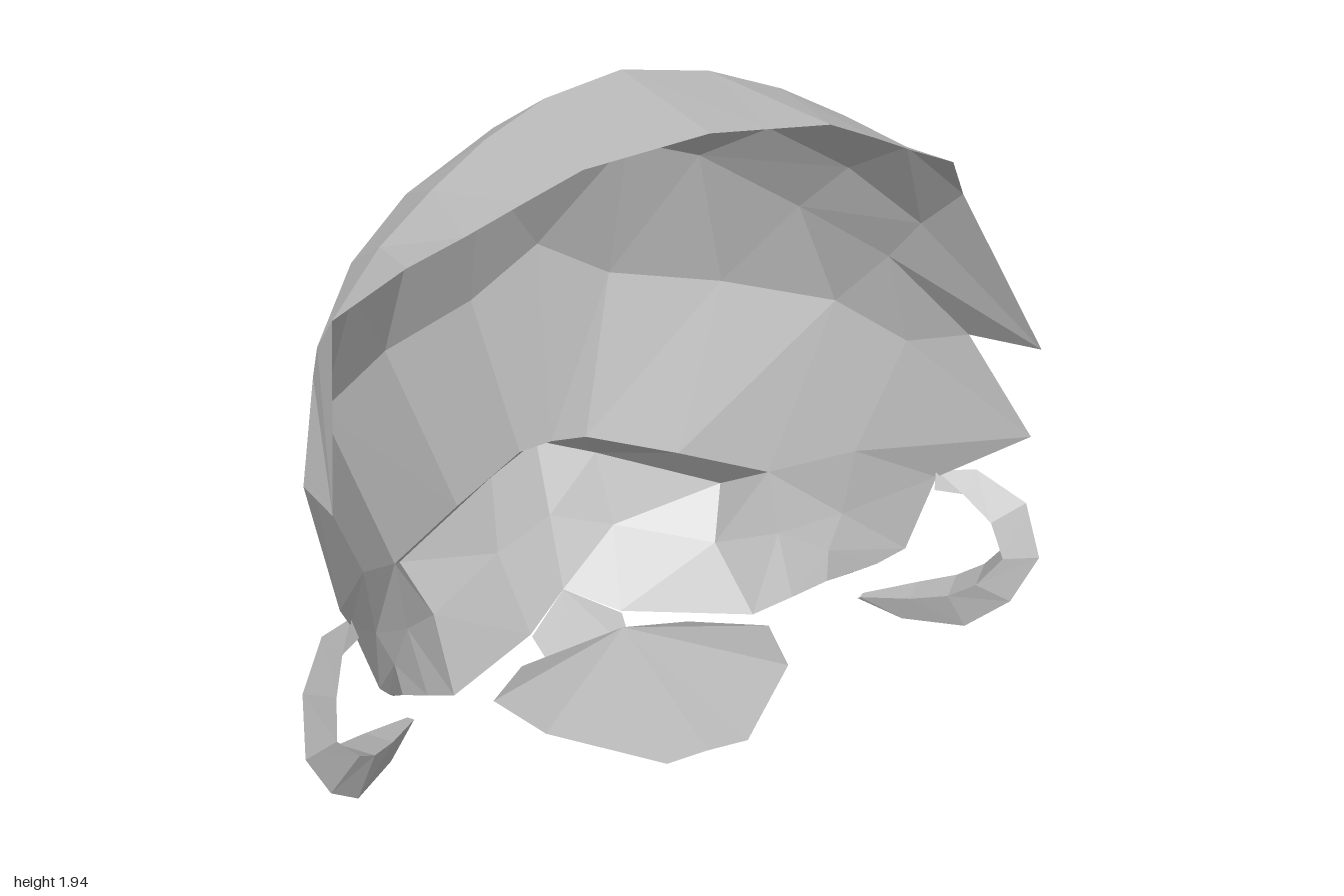
import * as THREE from 'three';

const grey = new THREE.MeshStandardMaterial({ color: 0xc0c0c0, flatShading: true, side: THREE.DoubleSide });
grey.name = 'grey';

// Mesh from a list of triangles, each made of three [x, y, z] corners
function facets(name, tris) {
  const g = new THREE.BufferGeometry();
  g.setAttribute('position', new THREE.Float32BufferAttribute(tris.flat(2), 3));
  g.computeVertexNormals();
  const m = new THREE.Mesh(g, grey);
  m.name = name;
  return m;
}

const flip = ([x, y, z]) => [-x, y, z];
const mirrored = (tris) => tris.map(([a, b, c]) => [flip(a), flip(c), flip(b)]);

// Triangles between neighbouring cross-sections
function loft(rows, closed = false) {
  const tris = [];
  for (let i = 0; i < rows.length - 1; i++) {
    const a = rows[i], b = rows[i + 1], n = a.length;
    for (let k = 0; k < (closed ? n : n - 1); k++) {
      const j = (k + 1) % n;
      tris.push([a[k], a[j], b[k]], [a[j], b[j], b[k]]);
    }
  }
  return tris;
}

const fan = (c, pts) => pts.slice(1).map((p, i) => [c, pts[i], p]);

export function createModel() {
  const model = new THREE.Group();
  model.name = 'hair';

  // Open shell, half of it: rows from the back centre to the jagged side rim
  const upper = [
    [[0, 1.945, 0.5], [0.14, 1.93, 0.5], [0.28, 1.915, 0.5], [0.4, 1.855, 0.48], [0.52, 1.79, 0.455], [0.64, 1.73, 0.43]],
    [[0, 1.9, 0.03], [0.2, 1.88, 0.07], [0.36, 1.83, 0.12], [0.5, 1.76, 0.17], [0.64, 1.68, 0.23], [0.77, 1.56, 0.29]],
    [[0, 1.8, -0.13], [0.23, 1.7, -0.2], [0.47, 1.6, -0.14], [0.64, 1.51, -0.03], [0.77, 1.4, 0.12], [0.865, 1.25, 0.545]],
    [[0, 1.63, -0.34], [0.2, 1.5, -0.4], [0.38, 1.45, -0.35], [0.6, 1.33, -0.2], [0.76, 1.25, 0], [0.86, 1.13, 0.25]],
    [[0, 1.17, -0.55], [0.2, 1.05, -0.53], [0.48, 1.03, -0.4], [0.71, 1.04, -0.17], [0.8, 1.02, 0.06], [0.87, 1, 0.545]],
    [[0, 0.58, -0.47], [0.1, 0.575, -0.46], [0.33, 0.54, -0.33], [0.55, 0.5, -0.2], [0.69, 0.68, 0.03], [0.79, 0.73, 0.28]],
  ];
  // Rolled nape below the undercut ledge
  const lower = [
    upper[5],
    [[0, 0.5, -0.6], [0.16, 0.455, -0.54], [0.49, 0.36, -0.38], [0.55, 0.5, -0.2], [0.67, 0.47, 0.02], [0.73, 0.5, 0.26]],
    [[0, 0.3, -0.5], [0.18, 0.25, -0.45], [0.43, 0.23, -0.28], [0.55, 0.34, -0.12], [0.63, 0.36, 0.03], [0.69, 0.41, 0.19]],
    [[0, 0.1, -0.4], [0.14, 0.05, -0.3], [0.45, 0.12, -0.06], [0.54, 0.2, 0], [0.62, 0.27, 0.05], [0.66, 0.33, 0.11]],
  ];
  for (const [name, rows] of [['hairShell', upper], ['napeRoll', lower]]) {
    const half = loft(rows);
    model.add(facets(name, [...half, ...mirrored(half)]));
  }

  // Notched chin plate, rising towards the front
  const chin = fan([0, 0.3, 0.05], [[0, 0.32, 0.59], [0.11, 0.315, 0.59], [0.34, 0.3, 0.36], [0.4, 0.24, 0.13], [0.25, 0.15, -0.07]]);
  model.add(facets('chinPlate', [...chin, ...mirrored(chin)]));

  // Small tab under the nape
  const tab = fan([0, 0.1, -0.4], [[0, 0.01, -0.15], [0.12, 0.01, -0.15], [0.14, 0.05, -0.29]]);
  model.add(facets('napeTab', [...tab, ...mirrored(tab)]));

  // Side curls: [x, y, z, radius, half width] along a C-shaped path
  const path = [
    [0.79, 0.72, 0.28, 0.03, 0.02],
    [0.86, 0.73, 0.33, 0.04, 0.03],
    [0.92, 0.68, 0.42, 0.06, 0.04],
    [0.94, 0.57, 0.47, 0.055, 0.04],
    [0.89, 0.46, 0.44, 0.065, 0.05],
    [0.83, 0.38, 0.38, 0.075, 0.05],
    [0.74, 0.34, 0.29, 0.06, 0.04],
    [0.64, 0.32, 0.2, 0.01, 0.01],
  ];
  const hub = new THREE.Vector3(0.8, 0.55, 0.3);
  const sections = path.map(([x, y, z, r, w]) => {
    const c = new THREE.Vector3(x, y, z);
    const out = c.clone().sub(hub).normalize().multiplyScalar(r);
    const side = new THREE.Vector3(0.7, 0, -0.7).multiplyScalar(w);
    return [
      c.clone().add(out),
      c.clone().addScaledVector(out, -0.6).add(side),
      c.clone().addScaledVector(out, -0.6).sub(side),
    ].map((v) => v.toArray());
  });
  const curl = loft(sections, true);
  model.add(facets('leftCurl', curl), facets('rightCurl', mirrored(curl)));

  return model;
}
